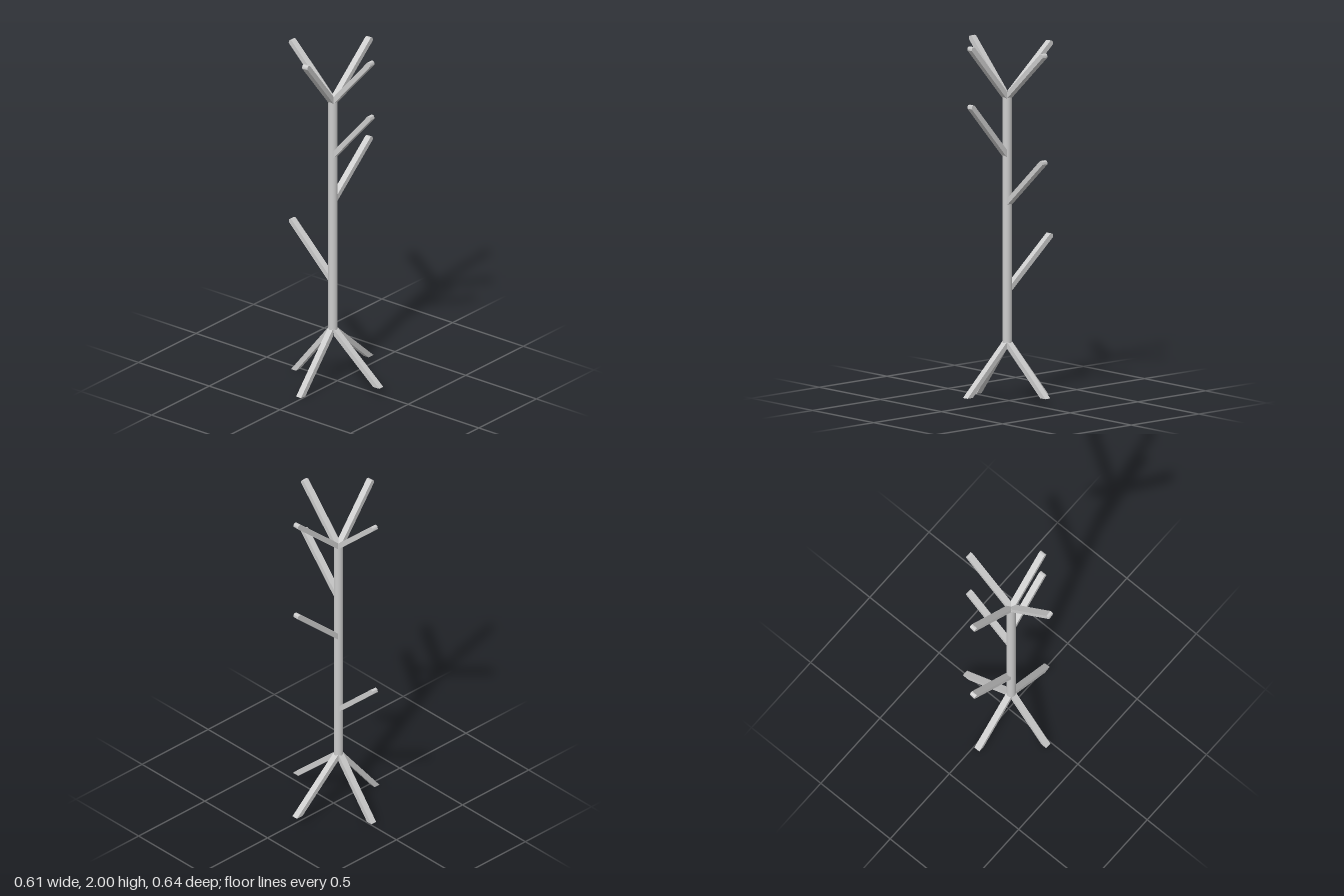
import * as THREE from 'three';
import { toCreasedNormals } from 'three/addons/utils/BufferGeometryUtils.js';

const AXIS_X = -0.027, AXIS_Z = -0.01;   // pole axis
const POLE_R = 0.026, POLE_BOTTOM = 0.32, POLE_TOP = 1.69;
const BAR_WIDTH = 0.036, BAR_THICK = 0.028;

// Slanted flat bar leaving the pole at `joint` and ending at plan point (x, z).
// dir = 1 rises (branch), -1 falls (leg); rise = height gained; nose = tip rounding.
function barGeometry(x, z, joint, dir, rise, nose) {
  const dx = x - AXIS_X, dz = z - AXIS_Z, reach = Math.hypot(dx, dz);
  const slope = (rise - nose) / (reach - POLE_R);
  const thick = BAR_THICK * Math.hypot(1, slope);
  const start = -slope * POLE_R;

  // side profile with a level cut at the tip
  const s = new THREE.Shape();
  s.moveTo(0, dir * start);
  s.lineTo(reach, dir * (rise - nose));
  if (nose > 0) s.quadraticCurveTo(reach, dir * rise, reach - nose * 0.5, dir * rise);
  s.lineTo((rise - thick) / slope + POLE_R, dir * rise);
  s.lineTo(0, dir * (start + thick));
  s.closePath();

  const geo = new THREE.ExtrudeGeometry(s, {
    depth: BAR_WIDTH, steps: 2, bevelEnabled: false, curveSegments: 6,
  });
  geo.translate(0, 0, -BAR_WIDTH / 2);

  // mitre the inner end so four bars meet in a neat cross
  const p = geo.attributes.position;
  for (let i = 0; i < p.count; i++) {
    if (p.getX(i) < 1e-5) {
      const w = Math.abs(p.getZ(i));
      p.setX(i, w);
      p.setY(i, p.getY(i) + dir * slope * w);
    }
  }
  geo.rotateY(Math.atan2(-dz, dx));
  geo.translate(AXIS_X, joint, AXIS_Z);
  return toCreasedNormals(geo, 0.6);
}

export function createModel() {
  const model = new THREE.Group();
  model.name = 'coatStand';
  const mat = new THREE.MeshStandardMaterial({ color: 0xcccccc });
  const add = (name, geo) => {
    const mesh = new THREE.Mesh(geo, mat);
    mesh.name = name;
    model.add(mesh);
  };

  // round pole
  const pole = new THREE.CylinderGeometry(POLE_R, POLE_R, POLE_TOP - POLE_BOTTOM, 32);
  pole.translate(AXIS_X, (POLE_TOP + POLE_BOTTOM) / 2, AXIS_Z);
  add('pole', pole);

  // branches: crown of four, some repeated lower down the pole (drops)
  const branches = [
    { side: 'left', x: 0.29, z: -0.003, rise: 0.28, drops: [0, 0.595] },
    { side: 'right', x: -0.298, z: 0.012, rise: 0.31, drops: [0] },
    { side: 'front', x: -0.026, z: 0.268, rise: 0.31, drops: [0, 0.325] },
    { side: 'back', x: -0.011, z: -0.32, rise: 0.28, drops: [0, 1.075] },
  ];
  for (const b of branches) {
    for (const drop of b.drops) {
      add(b.side + (drop ? 'LowerBranch' : 'TopBranch'),
        barGeometry(b.x, b.z, POLE_TOP - drop, 1, b.rise, 0.02));
    }
  }

  // legs: two long ones reach the floor, two are slightly shallower
  const legs = [
    { side: 'left', x: 0.305, z: -0.011, rise: 0.27 },
    { side: 'right', x: -0.307, z: -0.025, rise: 0.32 },
    { side: 'front', x: -0.008, z: 0.317, rise: 0.27 },
    { side: 'back', x: -0.023, z: -0.295, rise: 0.32 },
  ];
  for (const l of legs) {
    add(l.side + 'Leg', barGeometry(l.x, l.z, POLE_BOTTOM, -1, l.rise, 0));
  }
  return model;
}
